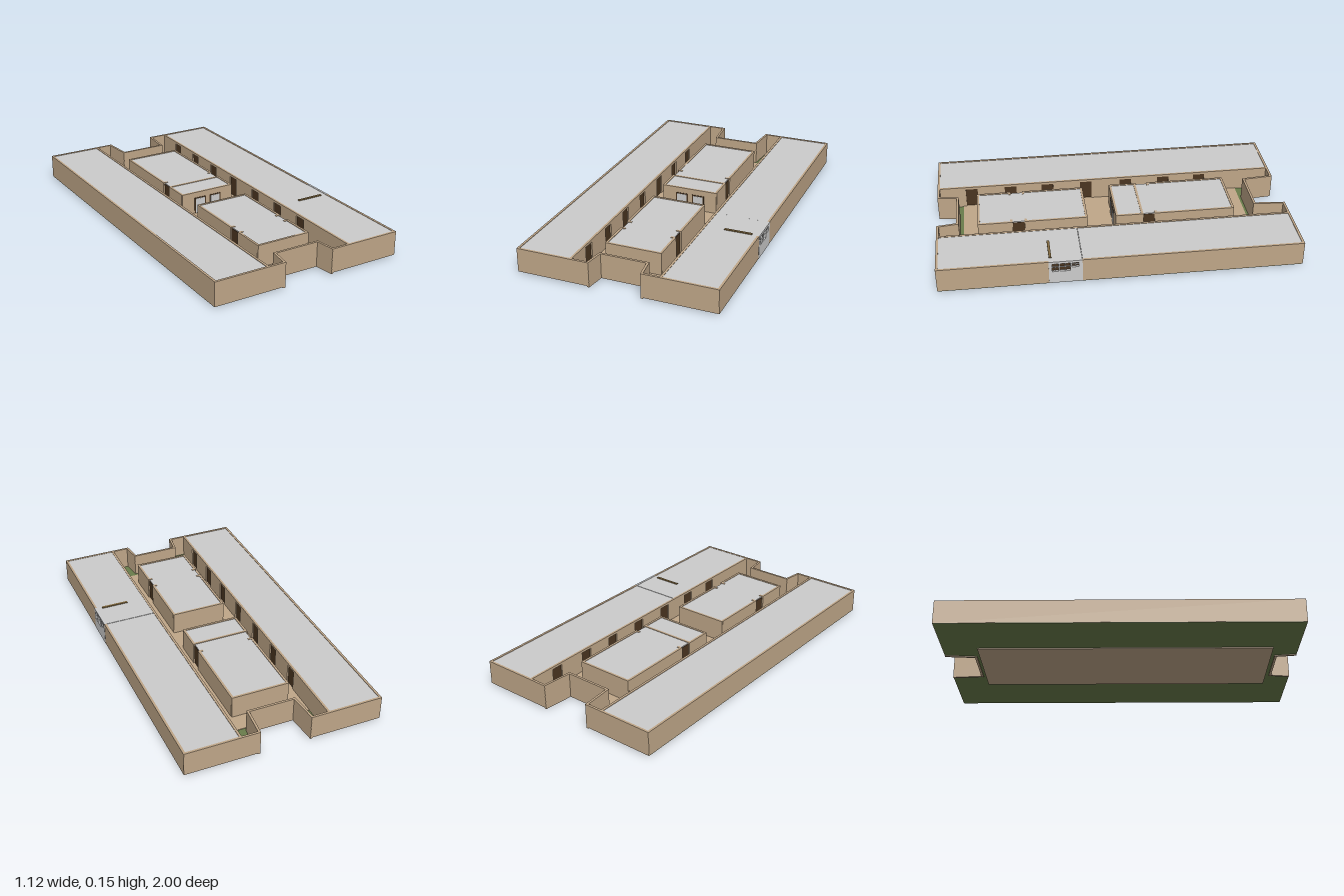
import * as THREE from 'three';

const mat = (color) => new THREE.MeshStandardMaterial({ color });
const TAN = mat(0xbfa688), GREEN = mat(0x697d4b), GREY = mat(0xcccccc), DARK = mat(0x4a3520), BOARD = mat(0x80683f);
const T = 0.013, BASE = 0.01, TOP = 0.146, ROOF = 0.143;

export function createModel() {
  const root = new THREE.Group();
  root.name = 'courtyardBuilding';

  // box from its extents
  function box(parent, name, m, x0, x1, y0, y1, z0, z1) {
    const mesh = new THREE.Mesh(new THREE.BoxGeometry(x1 - x0, y1 - y0, z1 - z0), m);
    mesh.position.set((x0 + x1) / 2, (y0 + y1) / 2, (z0 + z1) / 2);
    mesh.name = name;
    parent.add(mesh);
    return mesh;
  }

  // upright wall following a line on the ground plan
  function wall(parent, name, a, b, y0 = BASE) {
    const dx = b[0] - a[0], dz = b[1] - a[1];
    const mesh = new THREE.Mesh(new THREE.BoxGeometry(Math.hypot(dx, dz) + T * 0.8, TOP - y0, T), TAN);
    mesh.position.set((a[0] + b[0]) / 2, (y0 + TOP) / 2, (a[1] + b[1]) / 2);
    mesh.rotation.y = -Math.atan2(dz, dx);
    mesh.name = name;
    parent.add(mesh);
  }

  // wall along z, broken by full doorways with a recessed dark door and a lintel
  // inward: direction from the wall towards the inside of its room
  function doorWall(parent, x, z0, z1, doors, width, inward) {
    let z = z0;
    for (const d of [...doors].sort((a, b) => a - b)) {
      box(parent, 'wall', TAN, x - T / 2, x + T / 2, BASE, TOP, z, d - width / 2);
      box(parent, 'lintel', TAN, x - T / 2, x + T / 2, 0.132, TOP, d - width / 2, d + width / 2);
      const px = x + inward * 0.004;
      box(parent, 'door', DARK, px - 0.003, px + 0.003, BASE, 0.132, d - width / 2, d + width / 2);
      z = d + width / 2;
    }
    box(parent, 'wall', TAN, x - T / 2, x + T / 2, BASE, TOP, z, z1);
  }

  // ground plate, notched at both ends
  const plan = [[-0.56, 0.995], [-0.15, 0.995], [-0.13, 0.88], [0.13, 0.88], [0.145, 0.995], [0.56, 0.995],
    [0.56, -0.995], [0.145, -0.995], [0.13, -0.825], [-0.135, -0.825], [-0.15, -0.995], [-0.56, -0.995]];
  const groundShape = new THREE.Shape(plan.map(([x, z]) => new THREE.Vector2(x, -z)));
  const ground = new THREE.Mesh(
    new THREE.ExtrudeGeometry(groundShape, { depth: 0.006, bevelEnabled: false }), GREEN);
  ground.rotation.x = -Math.PI / 2;
  ground.position.y = 0.008;
  ground.name = 'ground';
  root.add(ground);

  // courtyard paving
  box(root, 'paving', TAN, -0.25, 0.25, 0.002, 0.018, -0.8, 0.855);

  // end walls around the notches
  const ends = new THREE.Group();
  ends.name = 'endWalls';
  root.add(ends);
  const front = [[-0.25, 0.992], [-0.152, 0.992], [-0.137, 0.882], [0.132, 0.882], [0.147, 0.992], [0.25, 0.992]];
  const back = [[-0.25, -0.992], [-0.152, -0.992], [-0.137, -0.822], [0.132, -0.822], [0.147, -0.992], [0.25, -0.992]];
  for (const line of [front, back]) {
    for (let i = 0; i < line.length - 1; i++) {
      wall(ends, 'endWall', line[i], line[i + 1], i > 0 && i < 4 ? 0.003 : BASE);
    }
  }

  // long side wings
  const doors = [-0.57, -0.35, -0.12, 0.12, 0.35, 0.57];
  for (const s of [-1, 1]) {
    const wing = new THREE.Group();
    wing.name = s < 0 ? 'rightWing' : 'leftWing';
    root.add(wing);
    const inner = s * 0.25, outer = s * 0.554;
    doorWall(wing, inner, -0.995, 0.995, [...doors, -s * 0.8], 0.07, s);
    for (const z of [-0.992, 0.992]) wall(wing, 'gableWall', [inner, z], [outer, z]);
    const [x0, x1] = [Math.min(inner, outer), Math.max(inner, outer)];
    if (s < 0) {
      wall(wing, 'outerWall', [outer, -0.992], [outer, 0.992]);
      box(wing, 'roof', GREY, x0, x1, 0.138, ROOF, -0.992, 0.992);
    } else {
      wall(wing, 'outerWall', [outer, -0.992], [outer, 0.215]);
      wall(wing, 'outerWall', [outer, 0.405], [outer, 0.992]);
      box(wing, 'roof', GREY, x0, x1, 0.138, ROOF, -0.992, 0.219);
      box(wing, 'roof', GREY, x0, x1, 0.138, ROOF + 0.001, 0.221, 0.992);
      for (const z of [0.22, 0.4]) box(wing, 'partition', GREY, x0, x1, BASE, 0.138, z - 0.004, z + 0.004);
      box(wing, 'roofBoard', BOARD, 0.362, 0.518, 0.14, 0.149, 0.384, 0.398);
    }
  }

  // entrance panel with three windows in the outer wall
  const entrance = new THREE.Group();
  entrance.name = 'entrance';
  root.add(entrance);
  const rect = (P, z0, z1, y0, y1) => new P([[-z1, y0], [-z0, y0], [-z0, y1], [-z1, y1]]
    .map(([x, y]) => new THREE.Vector2(x, y)));
  const panelShape = rect(THREE.Shape, 0.22, 0.402, BASE, TOP);
  const windows = [[0.35, 0.384, 0.083, 0.132], [0.286, 0.342, 0.083, 0.132], [0.24, 0.278, 0.105, 0.132]];
  for (const w of windows) panelShape.holes.push(rect(THREE.Path, ...w));
  const panel = new THREE.Mesh(
    new THREE.ExtrudeGeometry(panelShape, { depth: T, bevelEnabled: false }), GREY);
  panel.rotation.y = Math.PI / 2;
  panel.position.x = 0.549;
  panel.name = 'entrancePanel';
  entrance.add(panel);
  for (const [z0, z1, y0, y1] of windows) {
    const zm = (z0 + z1) / 2, ym = (y0 + y1) / 2;
    box(entrance, 'windowPane', DARK, 0.546, 0.549, y0 - 0.003, y1 + 0.003, z0 - 0.003, z1 + 0.003);
    box(entrance, 'windowBar', GREY, 0.551, 0.557, y0, y1, zm - 0.0015, zm + 0.0015);
    box(entrance, 'windowBar', GREY, 0.551, 0.557, ym - 0.0015, ym + 0.0015, z0, z1);
  }

  // free-standing courtyard block with a door recess [za, zb] on both long sides
  function block(name, x0, x1, z0, z1, za, zb, stubs) {
    const g = new THREE.Group();
    g.name = name;
    root.add(g);
    const h = T / 2;
    for (const z of [z0 + h, z1 - h]) wall(g, 'endWall', [x0 + h, z], [x1 - h, z]);
    for (const [x, s] of [[x0 + h, 1], [x1 - h, -1]]) {
      box(g, 'sideWall', TAN, x - h, x + h, BASE, TOP, z0 + h, za);
      box(g, 'sideWall', TAN, x - h, x + h, BASE, TOP, zb, z1 - h);
      const d = x + s * 0.004;
      box(g, 'sideDoor', DARK, d - 0.003, d + 0.003, BASE, 0.138, za, zb);
      for (const z of stubs) {
        const e = x + s * 0.022;
        box(g, 'doorJamb', TAN, Math.min(x, e), Math.max(x, e), BASE, TOP, z - h, z + h);
      }
    }
    box(g, 'roof', GREY, x0 + 0.01, x1 - 0.01, 0.138, ROOF, z0 + h, z1 - h);
    return g;
  }
  const rear = block('rearBlock', -0.17, 0.165, -0.695, -0.01, -0.235, -0.17, [-0.24]);
  wall(rear, 'crossWall', [-0.163, -0.162], [0.158, -0.162]);
  block('frontBlock', -0.163, 0.158, 0.15, 0.77, 0.505, 0.575, [0.5, 0.58]);

  // pair of pale doors facing the middle of the courtyard
  for (const x of [-0.05, 0.05]) {
    box(rear, 'doorFrame', DARK, x - 0.037, x + 0.037, 0.018, 0.113, -0.014, -0.008);
    box(rear, 'paleDoor', GREY, x - 0.03, x + 0.03, 0.018, 0.107, -0.013, -0.006);
  }

  return root;
}
